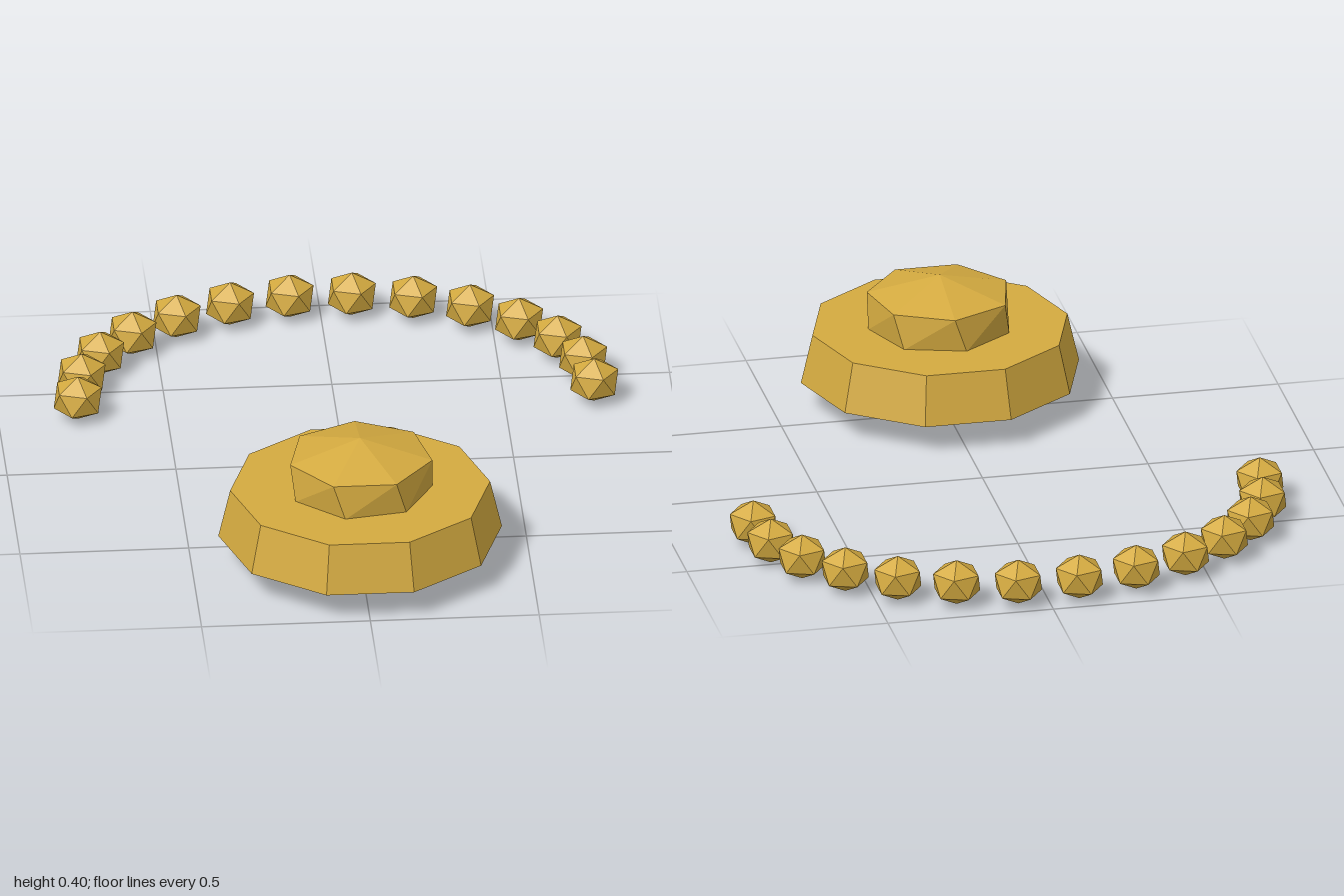
import * as THREE from 'three';
import { ConvexGeometry } from 'three/addons/geometries/ConvexGeometry.js';

// Ring of points; angle 0 faces +z
function ring(sides, radius, y, offset) {
  return Array.from({ length: sides }, (_, i) => {
    const a = offset + (i / sides) * Math.PI * 2;
    return new THREE.Vector3(Math.sin(a) * radius, y, Math.cos(a) * radius);
  });
}

export function createModel() {
  const group = new THREE.Group();
  const gold = new THREE.MeshStandardMaterial({ color: 0xd4aa40, flatShading: true });
  gold.name = 'gold';

  const add = (name, geometry, x, y, z) => {
    const mesh = new THREE.Mesh(geometry, gold);
    mesh.name = name;
    mesh.position.set(x, y, z);
    group.add(mesh);
    return mesh;
  };

  // Ten-sided tapered pendant base
  const base = add('pendantBase', new THREE.CylinderGeometry(0.385, 0.42, 0.15, 10), 0, 0.165, 0.6);
  base.rotation.y = Math.PI / 10;

  // Seven-sided twisted stone with a shallow pointed crown
  const stone = [
    new THREE.Vector3(0, 0.4, 0),
    ...ring(7, 0.216, 0.343, Math.PI),
    ...ring(7, 0.214, 0.238, THREE.MathUtils.degToRad(-16)),
  ];
  add('pendantStone', new ConvexGeometry(stone), 0, 0, 0.6);

  // Faceted beads along a half ellipse
  const beadGeometry = new ConvexGeometry([
    new THREE.Vector3(0, 0.07, 0),
    ...ring(5, 0.071, 0.032, Math.PI / 2),
    ...ring(5, 0.071, -0.032, -Math.PI / 2),
    new THREE.Vector3(0, -0.07, 0),
  ]);
  const count = 14;
  for (let i = 0; i < count; i++) {
    const a = (i / (count - 1)) * Math.PI;
    add('bead' + (i + 1), beadGeometry, Math.cos(a) * 0.765, 0.07, -0.34 - Math.sin(a) * 0.6);
  }
  return group;
}
